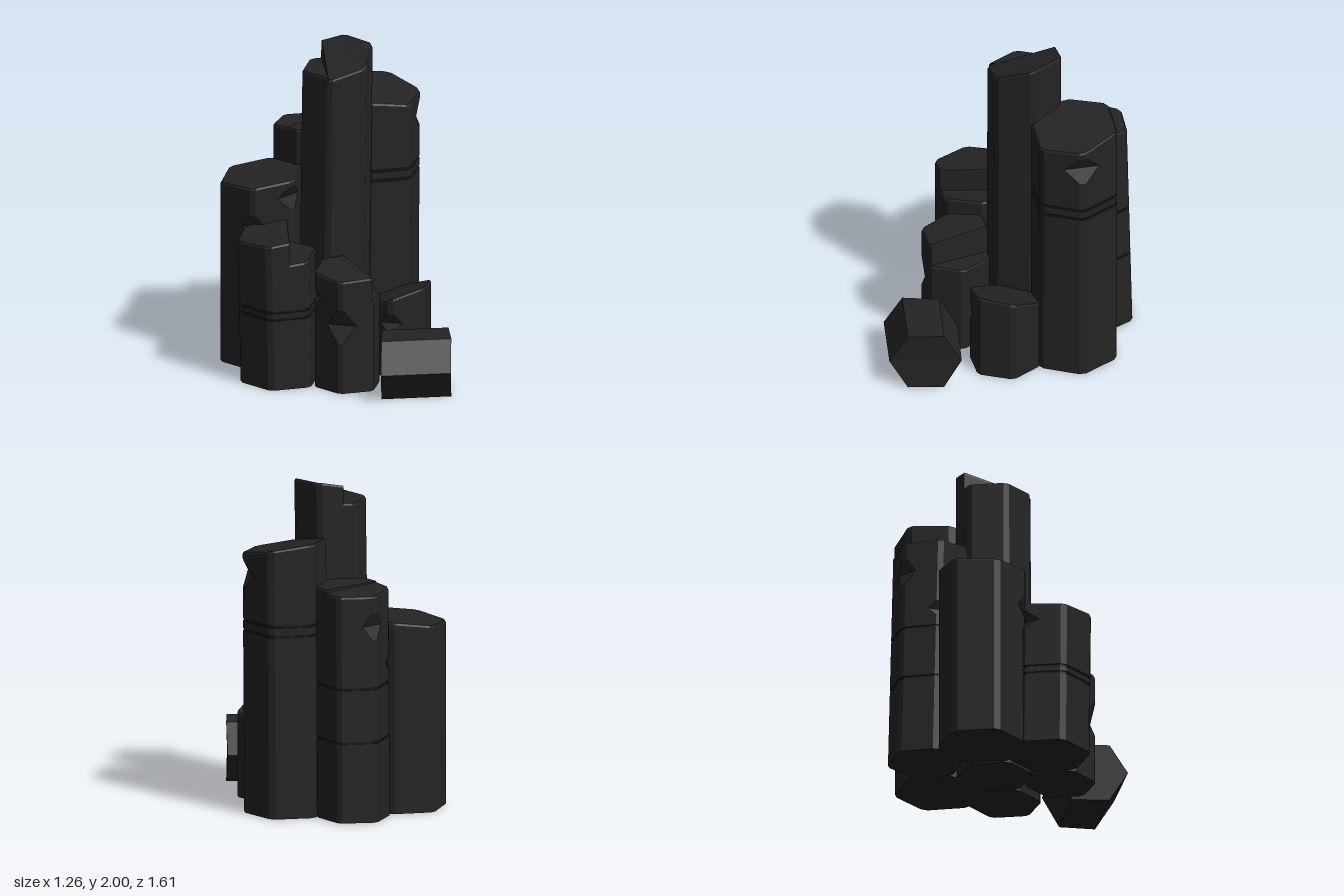
import * as THREE from 'three';
import { mergeGeometries } from 'three/addons/utils/BufferGeometryUtils.js';

const stone = new THREE.MeshStandardMaterial({ color: 0x242424 });
stone.name = 'basalt';
const jointDark = new THREE.MeshStandardMaterial({ color: 0x161616 });
jointDark.name = 'jointShadow';

// Flat-faced solid from stacked rings of equal point count
function loft(rings) {
  const pos = [];
  const tri = (...pts) => pts.forEach((p) => pos.push(...p));
  const n = rings[0].length;
  const mid = (r) => [0, 1, 2].map((k) => r.reduce((s, p) => s + p[k], 0) / n);
  const last = rings[rings.length - 1];
  const c0 = mid(rings[0]), c1 = mid(last);
  for (let i = 0; i < n; i++) {
    const j = (i + 1) % n;
    for (let k = 0; k + 1 < rings.length; k++) {
      const a = rings[k], b = rings[k + 1];
      tri(a[i], b[i], b[j]);
      tri(a[i], b[j], a[j]);
    }
    tri(c0, rings[0][i], rings[0][j]);
    tri(c1, last[j], last[i]);
  }
  const g = new THREE.BufferGeometry();
  g.setAttribute('position', new THREE.Float32BufferAttribute(pos, 3));
  g.computeVertexNormals();
  return g;
}

const lerp = (a, b, t) => [a[0] + (b[0] - a[0]) * t, a[1] + (b[1] - a[1]) * t];

// Signed distance to the line a-b
function lineDistance(a, b) {
  const dx = b[0] - a[0], dz = b[1] - a[1], l = Math.hypot(dx, dz);
  return (x, z) => (dx * (z - a[1]) - dz * (x - a[0])) / l;
}

// Keep the part of a convex footprint where sign * d >= 0
function clip(poly, d, sign) {
  const out = [];
  poly.forEach((p, i) => {
    const q = poly[(i + 1) % poly.length];
    const dp = sign * d(...p), dq = sign * d(...q);
    if (dp >= 0) out.push(p);
    if (dp * dq < 0) out.push(lerp(p, q, dp / (dp - dq)));
  });
  return out.length > 2 ? out : null;
}

// Slightly deepened hexagon footprint; corners run round from -x, -z by way of +x
function hexagon(x, z, r, turn) {
  return Array.from({ length: 6 }, (_, i) => {
    const a = turn + ((i + 4) * Math.PI) / 3;
    return [x + r * Math.cos(a), z + 1.05 * r * Math.sin(a)];
  });
}

// Worn vertical edges
function chamfer(hex, t = 0.09) {
  return hex.flatMap((p, i) => [lerp(p, hex[(i + 5) % 6], t), lerp(p, hex[(i + 1) % 6], t)]);
}

// Column: hexagon with a top height rule, optional step, V-shaped corner chips and joints
function column(name, { x: cx, z: cz, r, turn = 0, top, leanX = 0, leanZ = 0, step, chips = [], joints = [] }) {
  const group = new THREE.Group();
  group.name = name;
  const hex = hexagon(cx, cz, r, turn);
  const outline = chamfer(hex);
  const height = top(cx, cz);
  const place = ([x, z], y, s = 1) => {
    const f = 1 - y / height;
    return [cx + (x - cx) * s - leanX * f, y, cz + (z - cz) * s - leanZ * f];
  };
  const slab = (y0, y1, s) => loft([y0, y1].map((y) => outline.map((p) => place(p, y, s))));
  const solids = [], dark = [];

  // Jointed lower trunk
  let base = 0;
  for (const y of joints) {
    solids.push(slab(base, y - 0.007, 1));
    dark.push(slab(y - 0.007, y + 0.007, 0.965));
    base = y + 0.007;
  }

  // Upper part split along the step and around each chip
  let pieces = [{ poly: outline, lo: () => base, hi: top, crown: true }];
  if (step) {
    const d = lineDistance(step.from, step.to);
    pieces = [[-1, top], [1, step.low]].map(([side, hi]) => ({ ...pieces[0], poly: clip(outline, d, side), hi }));
  }
  for (const { corner, y, half, bite = 0.3 } of chips) {
    const p = hex[corner];
    const d = lineDistance(lerp(p, hex[(corner + 5) % 6], bite), lerp(p, hex[(corner + 1) % 6], bite));
    const full = d(...p), out = Math.sign(full);
    const depth = (x, z) => half * Math.max(0, d(x, z) / full);
    pieces = pieces.flatMap((s) => {
      const inner = clip(s.poly, d, -out), outer = clip(s.poly, d, out);
      const res = [];
      if (inner) res.push({ ...s, poly: inner });
      if (outer) {
        res.push({ ...s, poly: outer, hi: (x, z) => Math.min(s.hi(x, z), y - depth(x, z)), crown: false });
        res.push({ ...s, poly: outer, lo: (x, z) => Math.max(s.lo(x, z), y + depth(x, z)) });
      }
      return res;
    });
  }
  for (const { poly, lo, hi, crown } of pieces) {
    if (!poly.some((p) => hi(...p) > lo(...p) + 0.002)) continue;
    const floor = (p) => Math.min(lo(...p), hi(...p));
    const bottom = poly.map((p) => place(p, floor(p)));
    const rim = poly.map((p) => place(p, Math.max(floor(p), hi(...p) - (crown ? 0.012 : 0))));
    const cap = poly.map((p) => place(p, hi(...p), 0.97));
    solids.push(loft(crown ? [bottom, rim, cap] : [bottom, rim]));
  }
  const body = new THREE.Mesh(mergeGeometries(solids), stone);
  body.name = name + 'Body';
  group.add(body);
  if (dark.length) {
    const seams = new THREE.Mesh(mergeGeometries(dark), jointDark);
    seams.name = name + 'Joints';
    group.add(seams);
  }
  return group;
}

// Fallen piece lying in front: a hexagonal section with skewed, slightly bulging ends
function fallenColumn() {
  const section = hexagon(0, 0, 0.212, 0);
  const end = (x, z, skew, bulge) => section.map(([w, h]) =>
    [x + w * skew + bulge * Math.abs(h), 0.182 + h * 0.945, z + w]);
  const mesh = new THREE.Mesh(loft([end(0.122, 0.52, -0.335, 0), end(0.518, 0.59, -0.23, 0.06)]), stone);
  mesh.name = 'fallenColumn';
  return mesh;
}

export function createModel() {
  const model = new THREE.Group();
  model.name = 'basaltColumns';
  model.add(column('tallColumn', {
    x: 0.05, z: -0.14, r: 0.225, leanX: 0.025,
    top: (x, z) => Math.min(2, 1.885 + 0.26 * x - 0.26 * z),
    step: { from: [0.01, -0.34], to: [-0.07, 0.06], low: (x) => 1.868 + 0.02 * x },
  }));
  model.add(column('backColumn', {
    x: 0.005, z: -0.56, r: 0.228, turn: 0.08, leanZ: 0.035, joints: [0.49, 0.82],
    top: () => 1.41,
    step: { from: [0.17, -0.64], to: [-0.15, -0.47], low: (x, z) => 1.43 + 0.06 * z },
    chips: [{ corner: 0, y: 1.2, half: 0.11, bite: 0.35 }, { corner: 5, y: 0.94, half: 0.07 }],
  }));
  model.add(column('backRightColumn', {
    x: -0.358, z: -0.37, r: 0.262,
    top: (x) => 1.205 + 0.12 * x,
    chips: [{ corner: 3, y: 1.07, half: 0.09, bite: 0.4 }, { corner: 4, y: 0.9, half: 0.1 }],
  }));
  model.add(column('backLeftColumn', {
    x: 0.38, z: -0.367, r: 0.263, turn: 0.03, leanX: 0.01, joints: [1.125, 1.185],
    top: (x, z) => 1.629 - 0.12 * x - 0.14 * z,
    chips: [{ corner: 2, y: 1.47, half: 0.11, bite: 0.45 }],
  }));
  model.add(column('frontRightColumn', {
    x: -0.395, z: 0.05, r: 0.25, leanX: -0.02, joints: [0.445, 0.49],
    top: (x) => 0.965 + 0.11 * x,
    step: { from: [-0.37, 0.23], to: [-0.28, -0.1], low: (x) => 0.82 + 0.1 * x },
    chips: [{ corner: 0, y: 0.8, half: 0.07, bite: 0.4 }],
  }));
  model.add(column('frontColumn', {
    x: -0.017, z: 0.27, r: 0.208,
    top: (x, z) => 0.755 + 0.05 * x - 0.1 * z,
    step: { from: [0.08, 0.42], to: [0.02, 0.1], low: () => 0.565 },
    chips: [{ corner: 4, y: 0.42, half: 0.13, bite: 0.5 }, { corner: 5, y: 0.57, half: 0.05 }],
  }));
  model.add(column('frontLeftColumn', {
    x: 0.365, z: 0.058, r: 0.216,
    top: (x, z) => 0.355 + 0.28 * x + 0.25 * z,
    chips: [{ corner: 4, y: 0.34, half: 0.08, bite: 0.35 }],
  }));
  model.add(fallenColumn());
  return model;
}
